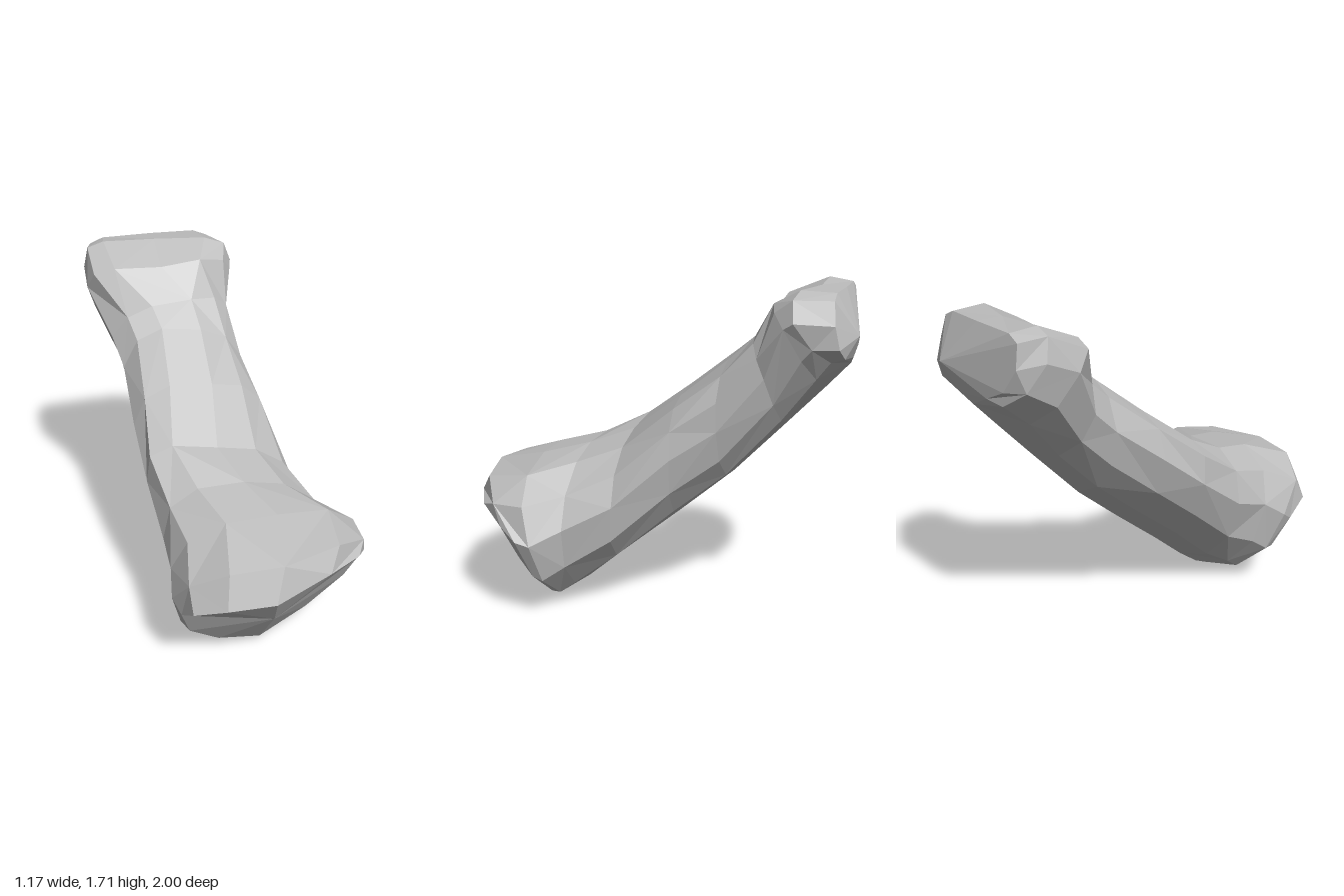
import * as THREE from 'three';

// Cross-sections from the front knuckle to the rear one:
// top, bottom, right-hand (-x) and left-hand (+x) extreme points.
const SECTIONS = [
  [[0, 0.54, 0.995], [0.03, 0.04, 0.62], [-0.4, 0.4, 0.79], [0.55, 0.5, 0.64]],
  [[0.05, 0.7, 0.93], [0.03, 0, 0.55], [-0.43, 0.45, 0.72], [0.585, 0.44, 0.54]],
  [[0.1, 0.775, 0.63], [0.03, 0.03, 0.48], [-0.41, 0.53, 0.6], [0.57, 0.42, 0.47]],
  [[0, 0.83, 0.4], [0.06, 0.09, 0.39], [-0.41, 0.58, 0.42], [0.45, 0.48, 0.35]],
  [[-0.08, 0.91, 0.18], [0.02, 0.27, 0.18], [-0.44, 0.76, 0.17], [0.35, 0.6, 0.12]],
  [[-0.04, 1.12, -0.1], [-0.05, 0.5, -0.1], [-0.455, 0.95, -0.08], [0.25, 0.85, -0.15]],
  [[-0.04, 1.32, -0.35], [-0.12, 0.73, -0.37], [-0.455, 1.15, -0.35], [0.185, 1.0, -0.37]],
  [[-0.06, 1.44, -0.48], [-0.15, 1, -0.63], [-0.49, 1.27, -0.48], [0.145, 1.27, -0.59]],
  [[-0.2, 1.6, -0.57], [-0.2, 1.2, -0.82], [-0.59, 1.51, -0.61], [0.2, 1.52, -0.69]],
  [[-0.2, 1.69, -0.77], [-0.2, 1.32, -0.93], [-0.585, 1.57, -0.76], [0.215, 1.55, -0.74]],
  [[-0.2, 1.685, -0.89], [-0.12, 1.36, -0.955], [-0.54, 1.55, -0.88], [0.15, 1.54, -0.92]],
];
// Corner fullness of each section: top left, top right, bottom (lower is squarer)
const FULLNESS = [
  [0.85, 0.95, 1], [0.83, 0.95, 1], [0.85, 0.95, 0.95], [1.05, 0.88, 0.95],
  [0.95, 0.8, 0.95], [0.95, 0.8, 0.97], [1, 0.8, 0.97], [1, 0.75, 0.95],
  [0.9, 0.65, 0.85], [0.6, 0.5, 0.8], [0.45, 0.45, 0.7],
];
const SIDES = 12;

// Rounded closed ring through the four extreme points
function ring(extremes, index) {
  const [t, b, l, r] = extremes.map((p) => new THREE.Vector3(...p));
  const [topLeft, topRight, bottom] = FULLNESS[index];
  const centre = t.clone().add(b).add(l).add(r).multiplyScalar(0.25);
  return Array.from({ length: SIDES }, (_, j) => {
    const a = (j / SIDES) * Math.PI * 2;
    const c = Math.cos(a), s = Math.sin(a);
    const power = s < 0 ? bottom : c > 0 ? topLeft : topRight;
    const weight = (v) => (Math.abs(v) < 1e-6 ? 0 : Math.pow(Math.abs(v), power));
    const across = (c >= 0 ? r : l).clone().sub(centre);
    const up = (s >= 0 ? t : b).clone().sub(centre);
    return centre.clone().addScaledVector(across, weight(c)).addScaledVector(up, weight(s));
  });
}

function loftGeometry() {
  const rings = SECTIONS.map(ring);
  const positions = [];
  const tri = (...pts) => pts.forEach((p) => positions.push(p.x, p.y, p.z));
  const frontCentre = new THREE.Vector3(0.04, 0.32, 0.83);
  const backCentre = new THREE.Vector3(-0.02, 1.48, -1);
  const last = rings.length - 1;

  for (let j = 0; j < SIDES; j++) {
    const k = (j + 1) % SIDES;
    for (let i = 0; i < last; i++) {
      const a = rings[i][j], b = rings[i][k], c = rings[i + 1][j], d = rings[i + 1][k];
      // alternate the diagonals for an irregular faceted surface
      if ((i + j) % 2) {
        tri(a, c, b);
        tri(b, c, d);
      } else {
        tri(a, c, d);
        tri(a, d, b);
      }
    }
    // end caps
    tri(frontCentre, rings[0][j], rings[0][k]);
    tri(backCentre, rings[last][k], rings[last][j]);
  }
  const geometry = new THREE.BufferGeometry();
  geometry.setAttribute('position', new THREE.Float32BufferAttribute(positions, 3));
  geometry.computeVertexNormals();
  return geometry;
}

export function createModel() {
  const boneGrey = new THREE.MeshStandardMaterial({ color: 0xbcbcbc });
  boneGrey.name = 'boneGrey';
  boneGrey.flatShading = true;

  const bone = new THREE.Mesh(loftGeometry(), boneGrey);
  bone.name = 'bone';

  const group = new THREE.Group();
  group.name = 'boneModel';
  group.add(bone);
  return group;
}
